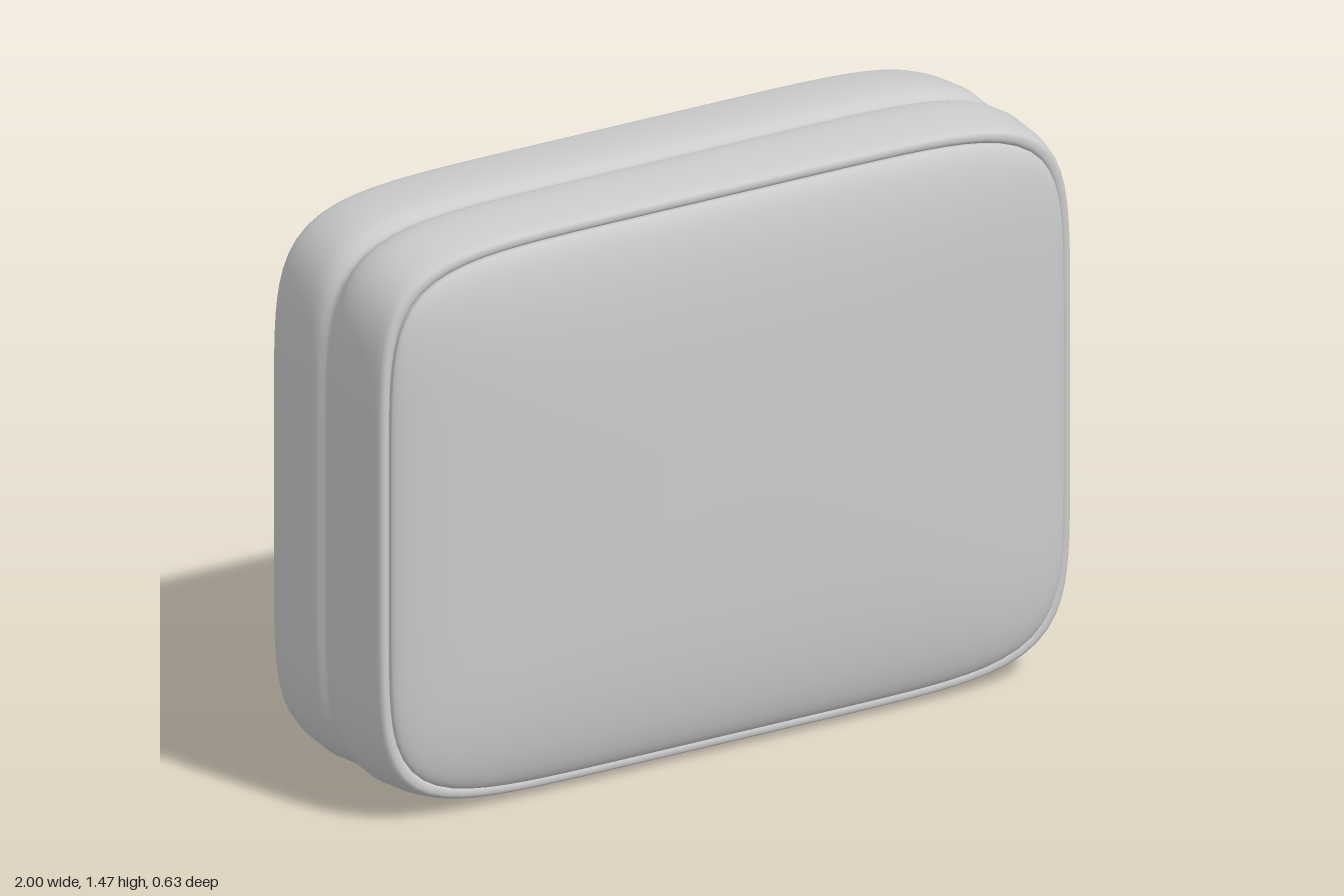
import * as THREE from 'three';

const HALF_W = 1, HALF_H = 0.737, CORNER = 6.8, SEGMENTS = 160;

// Lofts softly bowed rounded-rectangle rings, listed from back to front.
// Each ring is { z, inset, scale }.
function loft(rings, name, material) {
  const positions = [], index = [];
  for (const { z, inset, scale = 1 } of rings) {
    for (let j = 0; j < SEGMENTS; j++) {
      const a = (j / SEGMENTS) * Math.PI * 2;
      const c = Math.cos(a), s = Math.sin(a);
      const r = scale * (Math.abs(c) ** CORNER + Math.abs(s) ** CORNER) ** (-1 / CORNER);
      positions.push(r * c * (HALF_W - inset), HALF_H + r * s * (HALF_H - inset), z);
    }
  }
  for (let i = 0; i < rings.length - 1; i++) {
    for (let j = 0; j < SEGMENTS; j++) {
      const k = (j + 1) % SEGMENTS;
      const p = i * SEGMENTS + j, q = i * SEGMENTS + k;
      index.push(p, q, q + SEGMENTS, p, q + SEGMENTS, p + SEGMENTS);
    }
  }
  const geometry = new THREE.BufferGeometry();
  geometry.setAttribute('position', new THREE.Float32BufferAttribute(positions, 3));
  geometry.setIndex(index);
  geometry.computeVertexNormals();
  const mesh = new THREE.Mesh(geometry, material);
  mesh.name = name;
  return mesh;
}

const mirrored = (rings) => rings.map((r) => ({ ...r, z: -r.z })).reverse();

export function createModel() {
  const group = new THREE.Group();
  group.name = 'roundedCase';
  const material = new THREE.MeshStandardMaterial({ color: 0xcccccc });

  // Side band: two bulges with a seam groove between, lips turned in at the rims
  const half = [
    [0.006, 0.0205], [0.013, 0.018], [0.022, 0.012], [0.035, 0.006], [0.055, 0.002],
    [0.085, 0], [0.12, 0.0005], [0.155, 0.003], [0.19, 0.007], [0.215, 0.011],
    [0.232, 0.015], [0.24, 0.019], [0.2435, 0.025], [0.2435, 0.034],
    [0.24, 0.041], [0.23, 0.046],
  ].map(([z, inset]) => ({ z, inset }));
  group.add(loft([...mirrored(half), { z: 0, inset: 0.021 }, ...half], 'sideBand', material));

  // Padded panels: short wall rising out of the crease, then a shallow dome
  const panel = [{ z: 0.225, inset: 0.047 }, { z: 0.238, inset: 0.043 }];
  const steps = 28;
  for (let i = 0; i <= steps; i++) {
    const scale = Math.cos((i / steps) * Math.PI / 2);
    panel.push({ z: 0.247 + 0.068 * (1 - scale ** 4) ** 0.6, inset: 0.042, scale });
  }
  group.add(loft(panel, 'frontPanel', material));
  group.add(loft(mirrored(panel), 'backPanel', material));

  return group;
}
